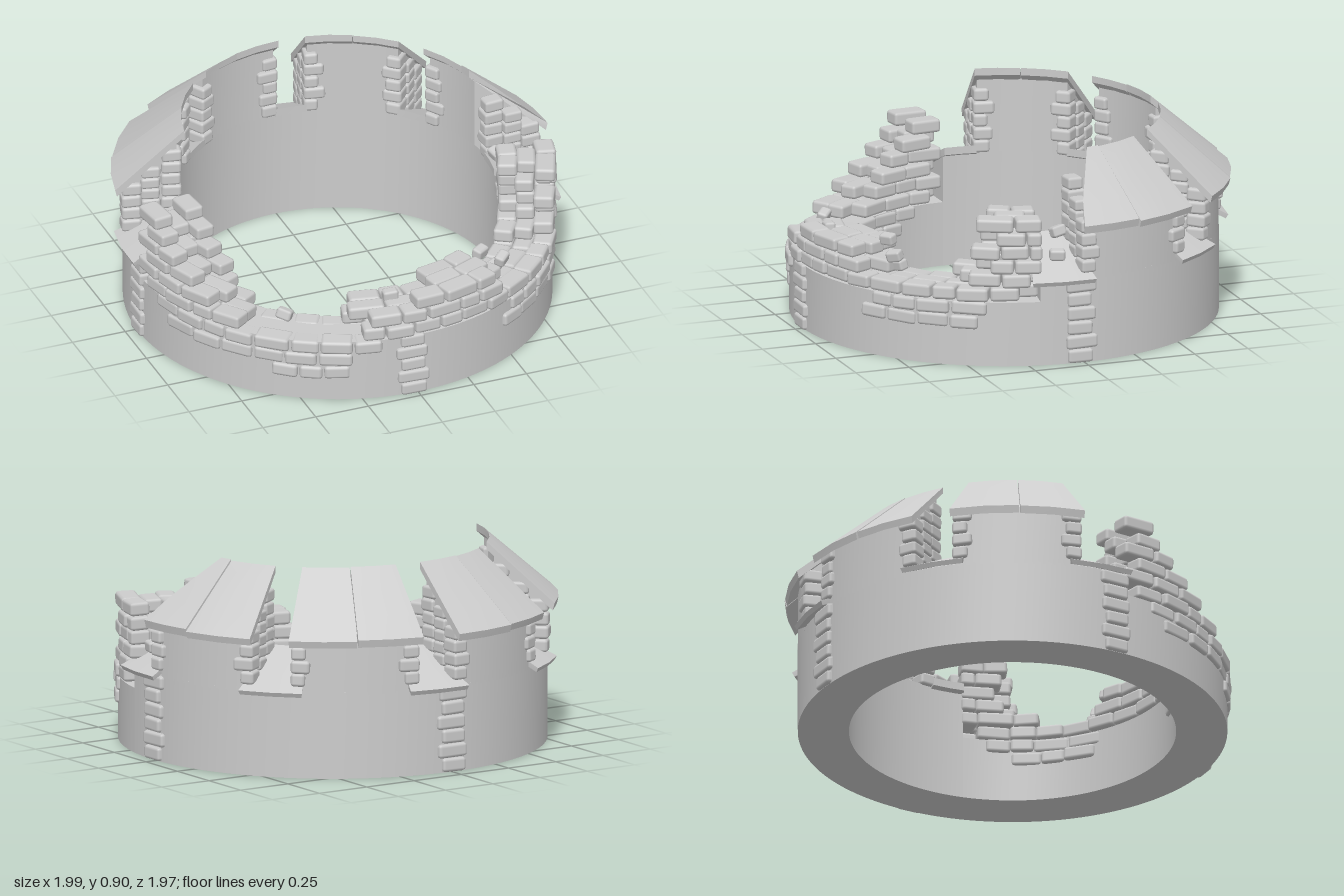
import * as THREE from 'three';
import { mergeGeometries, toCreasedNormals } from 'three/addons/utils/BufferGeometryUtils.js';
import { RoundedBoxGeometry } from 'three/addons/geometries/RoundedBoxGeometry.js';

const RAD = Math.PI / 180;
const INNER = 0.72, OUTER = 0.945;

// Angles are in degrees about y: 0 = front, 90 = +x, 180 = back.
const GAPS = [85, 130, 175, 220, 265];   // crenels
const HALF = 5.5;                        // half width of a crenel
const sillY = r => 0.51 - (r - INNER) * 0.55;
const roofY = r => 0.865 - (r - 0.69) * 0.865;

export function createModel() {
  const group = new THREE.Group();
  const stone = new THREE.MeshStandardMaterial({ color: 0xcccccc });

  let seed = 7;
  const rand = () => (seed = (seed * 16807) % 2147483647) / 2147483647;
  const jit = s => (rand() - 0.5) * 2 * s;

  const add = (name, geometry) => {
    const mesh = new THREE.Mesh(geometry, stone);
    mesh.name = name;
    mesh.position.z = 0.018;
    group.add(mesh);
  };

  // Sweeps an (r, y) profile from angle a0 to a1; skew(r) moves the a0 end per radius.
  const sector = (a0, a1, profile, steps, skew = () => 0) => {
    const shape = new THREE.Shape(profile.map(([r, y]) => new THREE.Vector2(r, y)));
    const geo = new THREE.ExtrudeGeometry(shape, { depth: 1, steps, bevelEnabled: false });
    const p = geo.attributes.position;
    for (let i = 0; i < p.count; i++) {
      const r = p.getX(i);
      const start = a0 + skew(r);
      const a = (a1 - p.getZ(i) * (a1 - start)) * RAD;
      p.setXYZ(i, r * Math.sin(a), p.getY(i), r * Math.cos(a));
    }
    return toCreasedNormals(geo, 0.5);
  };

  // One worn block: w along the wall, h up, d through the wall.
  const brick = (a, r, y, w, h, d, wobble = 1) => {
    const geo = new RoundedBoxGeometry(w, h, d, 1, Math.min(w, h, d) * 0.24);
    geo.rotateX(jit(0.05 * wobble));
    geo.rotateZ(jit(0.04 * wobble));
    geo.rotateY(a * RAD + jit(0.05 * wobble));
    geo.translate(r * Math.sin(a * RAD), y, r * Math.cos(a * RAD));
    return geo;
  };

  // Piecewise linear lookup
  const lookup = (table, a) => {
    for (let i = 1; i < table.length; i++) {
      const [a0, v0] = table[i - 1], [a1, v1] = table[i];
      if (a <= a1) return a <= a0 ? v0 : v0 + (v1 - v0) * (a - a0) / (a1 - a0);
    }
    return table[table.length - 1][1];
  };

  // Smooth wall: low at the front, sloped sill level round the back
  add('frontWall', sector(-89, 79, [[INNER, 0], [OUTER, 0], [OUTER, 0.29], [INNER, 0.29]], 60));
  add('backWall', sector(79, 271,
    [[INNER, 0], [OUTER, 0], [OUTER, sillY(OUTER)], [INNER, sillY(INNER)]], 68));

  // Merlons with two sloping roof slabs each
  const roofs = [];
  GAPS.slice(0, 4).forEach((gap, i) => {
    const a0 = gap + HALF, a1 = gap + 45 - HALF, mid = (a0 + a1) / 2 + jit(1.5);
    const broken = i === 0 ? r => Math.pow((1 - r) / 0.31, 1.6) * 11 : undefined;
    add('merlon', sector(a0 + (i === 0 ? 3 : 0.8), a1 - 0.8, [
      [INNER, sillY(INNER) - 0.01], [OUTER, sillY(OUTER) - 0.01],
      [OUTER, roofY(OUTER) + 0.005], [INNER, roofY(INNER) + 0.005]], 12,
    i === 0 ? r => (OUTER - r) * 34 : undefined));
    const slab = (s, e, skew) => {
      const t = 0.032 + jit(0.004), lip = 1 + jit(0.006), n = 3;
      const top = [], under = [];
      for (let k = 0; k <= n; k++) {
        const r = 0.69 + (lip - 0.69) * k / n;
        under.push([r - 0.008 * k / n, roofY(r)]);
        top.unshift([r, roofY(r) + t]);
      }
      roofs.push(sector(s, e, [...under, ...top], 2, skew));
    };
    slab(a0 - 0.4, mid - 0.15, broken);
    slab(mid + 0.15, a1 + 0.4);
  });
  add('roofSlabs', mergeGeometries(roofs));

  // Sloping sills that flare outwards
  const sills = GAPS.map(g => {
    const geo = sector(g - 1, g + 1, [
      [0.7, sillY(0.7) - 0.012], [0.985, sillY(0.985) + 0.005],
      [0.995, sillY(0.995) + 0.03], [0.7, sillY(0.7) + 0.022]], 2);
    const p = geo.attributes.position;
    for (let i = 0; i < p.count; i++) {
      const x = p.getX(i), z = p.getZ(i), r = Math.hypot(x, z);
      const off = Math.atan2(x, z) - g * RAD;
      const turn = Math.atan2(Math.sin(off), Math.cos(off));
      const a = g * RAD + turn * (6 + Math.max(0, r - 0.9) * 26);
      p.setXYZ(i, r * Math.sin(a), p.getY(i), r * Math.cos(a));
    }
    return toCreasedNormals(geo.deleteAttribute('normal'), 0.5);
  });
  add('sills', mergeGeometries(sills));

  // Block jambs on both sides of every merlon
  const jambs = [];
  GAPS.forEach((gap, i) => {
    [-1, 1].forEach(side => {
      if ((i === 0 && side < 0) || (i === 4 && side > 0)) return;
      [0.745, 0.835, 0.92].forEach((r, col) => {
        const y0 = sillY(r) + 0.01, y1 = roofY(r + 0.02);
        const n = Math.round((y1 - y0) / 0.058), h = (y1 - y0) / n;
        for (let k = 0; k < n; k++) {
          const w = 0.07 + (k % 2) * 0.022 + jit(0.006);
          const a = gap + side * (HALF - 0.5 + (w / 2 / r) / RAD);
          jambs.push(brick(a, r + jit(0.004), y0 + (k + 0.5) * h, w, h * 0.97, col === 1 ? 0.085 : 0.09, 0.7));
        }
      });
    });
  });
  add('jambBlocks', mergeGeometries(jambs));

  // Block strips up the outside at the four quarters
  const strips = [];
  [-1.3, 90, 180, 270].forEach((a, s) => {
    const top = s === 0 ? 0.3 : 0.385, n = Math.round(top / 0.062), h = top / n;
    for (let k = 0; k < n; k++) {
      const w = 0.115 + (k % 2) * 0.025 + jit(0.008);
      strips.push(brick(a + jit(0.5), 0.925, (k + 0.5) * h, w, h * 0.96, 0.075, 0.5));
    }
  });
  add('quarterStrips', mergeGeometries(strips));

  // Ruined courses: the upper edge and the lower, ragged edge by angle
  const topEdge = [[-88, 0.65], [-79, 0.63], [-70, 0.52], [-60, 0.42], [-46, 0.31], [-18, 0.31],
    [-13, 0.42], [2, 0.43], [4, 0.49], [25, 0.49], [28, 0.42], [33, 0.36], [54, 0.36],
    [62, 0.44], [67, 0.67], [76, 0.67], [79, 0.55]];
  const lowEdge = [[-88, 0.36], [-80, 0.29], [-72, 0.17], [-43, 0.17], [-40, 0.1], [-18, 0.1],
    [-15, 0.23], [-5, 0.29], [28, 0.29], [31, 0.17], [62, 0.17], [70, 0.3], [79, 0.36]];
  const rows = [
    { r: 0.912, d: 0.092, low: a => lookup(lowEdge, a) },
    { r: 0.83, d: 0.085, low: () => 0.28 },
    { r: 0.75, d: 0.09, low: a => Math.max(0.17, lookup(lowEdge, a)) },
  ];
  const courses = [], STEP = 0.063;
  rows.forEach((row, j) => {
    for (let k = 0; k < 10; k++) {
      const y = 0.105 + (k + 0.5) * STEP;
      let a = -88 + ((k + j) % 2) * 4.2;
      while (a < 78) {
        const span = Math.min((0.135 + jit(0.035)) / row.r / RAD, 79.5 - a);
        const mid = a + span / 2;
        a += span;
        if (span < 3 || y > lookup(topEdge, mid) + 0.005 || y < row.low(mid)) continue;
        const w = span * RAD * row.r * 0.98;
        courses.push(brick(mid, row.r + jit(0.007), y + jit(0.003), w, STEP * 0.97, row.d, 0.8));
      }
    }
  });
  add('ruinedCourses', mergeGeometries(courses));

  // Loose rubble on the broken edge
  const rubble = [[-48, 0.83, 0.36], [-12, 0.8, 0.44], [28, 0.8, 0.5], [30, 0.86, 0.45],
    [33, 0.82, 0.4], [64, 0.9, 0.5], [82, 0.74, 0.56], [78, 0.9, 0.5]]
    .map(([a, r, y]) => brick(a + 10 * rand(), r, y - 0.01, 0.07, 0.05, 0.05, 6));
  add('rubble', mergeGeometries(rubble));

  return group;
}
